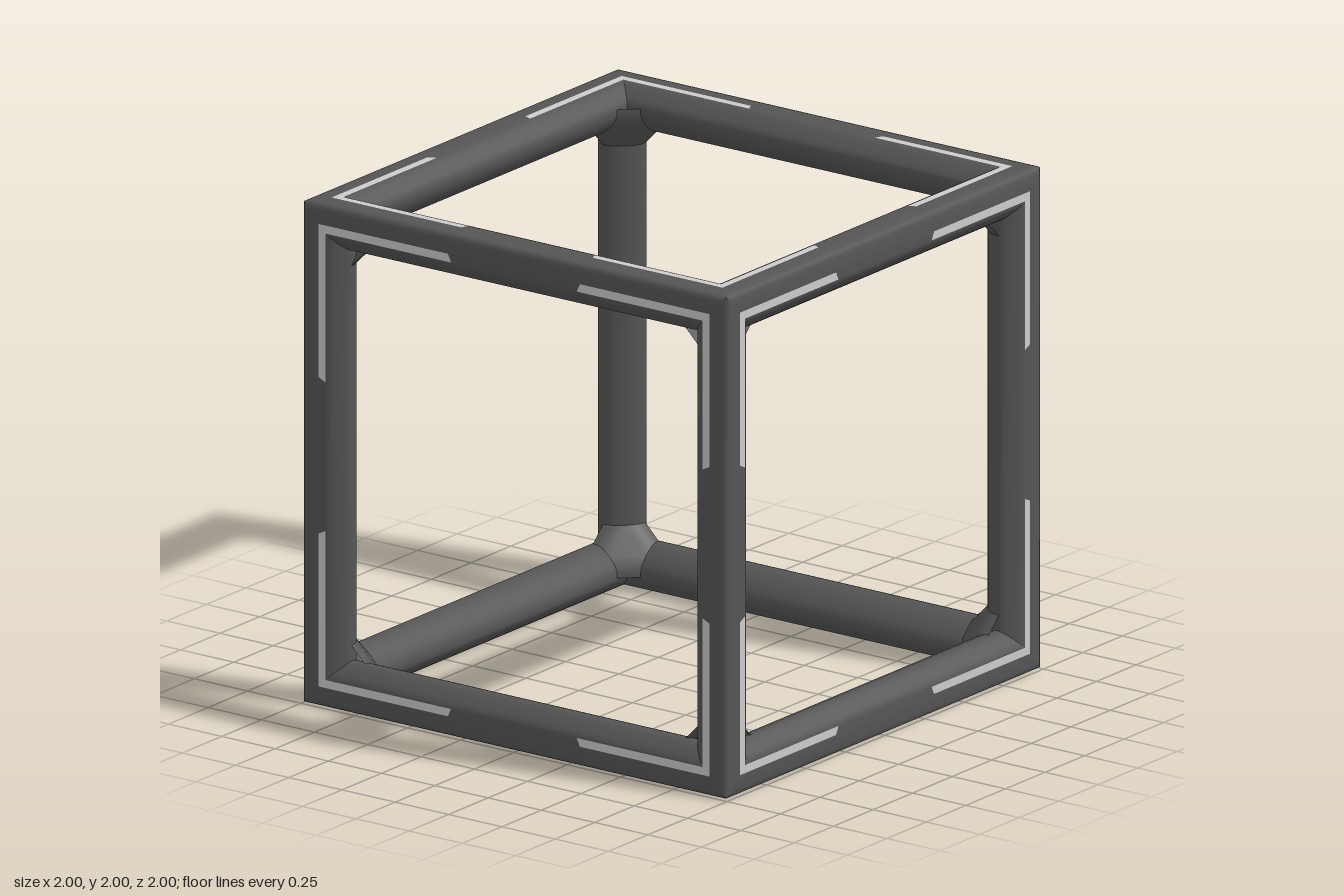
import * as THREE from 'three';
import { toCreasedNormals } from 'three/addons/utils/BufferGeometryUtils.js';
import { ConvexGeometry } from 'three/addons/geometries/ConvexGeometry.js';

const HALF = 0.999;
const STRIP_LEVEL = 1;

// Half of the bar's cross-section, measured inward from the cube's outer edge; mirrored on the diagonal
const half = [
  [0.017, 0.003], [0.03, 0], [0.112, 0], [0.125, 0.003], [0.142, 0.015],
  [0.17, 0.043], [0.181, 0.058], [0.184, 0.07], [0.184, 0.09], [0.174, 0.117],
];
const profile = [
  [0.008, 0.008], ...half, [0.148, 0.148],
  ...half.map(([u, v]) => [v, u]).reverse(),
];

// One bar along z whose ends are mitred for a three-way joint
function barGeometry() {
  const pos = [];
  const point = ([u, v], side) => [u - HALF, v - HALF, side * (HALF - Math.max(u, v))];
  profile.forEach((p, i) => {
    const q = profile[(i + 1) % profile.length];
    const a = point(p, -1), b = point(q, -1), c = point(q, 1), d = point(p, 1);
    pos.push(...a, ...b, ...c, ...a, ...c, ...d);
  });
  const geo = new THREE.BufferGeometry();
  geo.setAttribute('position', new THREE.Float32BufferAttribute(pos, 3));
  return toCreasedNormals(geo, 0.8);
}

// Web filling the inner angle where three bars meet
function gussetGeometry() {
  const reach = 0.247, pts = [];
  profile.filter(([u, v]) => u + v > 0.25).forEach(([u, v]) => {
    for (const [x, y, z] of [[u, v, reach], [v, reach, u], [reach, u, v]])
      pts.push(new THREE.Vector3(x - HALF, y - HALF, z - HALF));
  });
  return toCreasedNormals(new ConvexGeometry(pts), 0.6);
}

// L-shaped inlay for one corner of a face, with slanted tips
function stripGeometry() {
  const o = 0.917, i = 0.885, tipO = 0.31, tipI = 0.295;
  const shape = new THREE.Shape([
    [o, tipO], [o, o], [tipO, o], [tipI, i], [i, i], [i, tipI],
  ].map(([x, y]) => new THREE.Vector2(x, y)));
  return new THREE.ShapeGeometry(shape);
}

export function createModel() {
  const model = new THREE.Group();
  model.name = 'cubeFrame';
  const dark = new THREE.MeshStandardMaterial({ color: 0x555555 });
  const light = new THREE.MeshStandardMaterial({ color: 0xcccccc });
  const cube = new THREE.Group();
  cube.name = 'frame';
  cube.position.y = 1;
  model.add(cube);

  const group = (name, rx = 0, ry = 0) => {
    const g = new THREE.Group();
    g.name = name;
    g.rotation.set(rx, ry, 0);
    cube.add(g);
    return g;
  };
  const add = (parent, name, geo, mat) => {
    const mesh = new THREE.Mesh(geo, mat);
    mesh.name = name;
    parent.add(mesh);
    return mesh;
  };
  const Q = Math.PI / 2;

  // Twelve bars, four along each axis
  const bar = barGeometry();
  for (const [name, rx, ry] of [['depthBars', 0, 0], ['crossBars', 0, Q], ['uprightBars', Q, 0]]) {
    const g = group(name, rx, ry);
    for (let k = 0; k < 4; k++) add(g, 'bar', bar, dark).rotation.z = k * Q;
  }

  // Eight corner gussets
  const gusset = gussetGeometry();
  for (const [name, rx] of [['lowerGussets', 0], ['upperGussets', Math.PI]]) {
    const g = group(name, rx);
    for (let k = 0; k < 4; k++) add(g, 'cornerGusset', gusset, dark).rotation.y = k * Q;
  }

  // Four light inlays on each of the six faces
  const strip = stripGeometry();
  const faces = [
    ['frontInlays', 0, 0], ['leftInlays', 0, Q], ['backInlays', 0, 2 * Q],
    ['rightInlays', 0, -Q], ['topInlays', -Q, 0], ['bottomInlays', Q, 0],
  ];
  for (const [name, rx, ry] of faces) {
    const g = group(name, rx, ry);
    for (let k = 0; k < 4; k++) {
      const s = add(g, 'cornerInlay', strip, light);
      s.rotation.z = k * Q;
      s.position.z = STRIP_LEVEL;
    }
  }
  return model;
}
